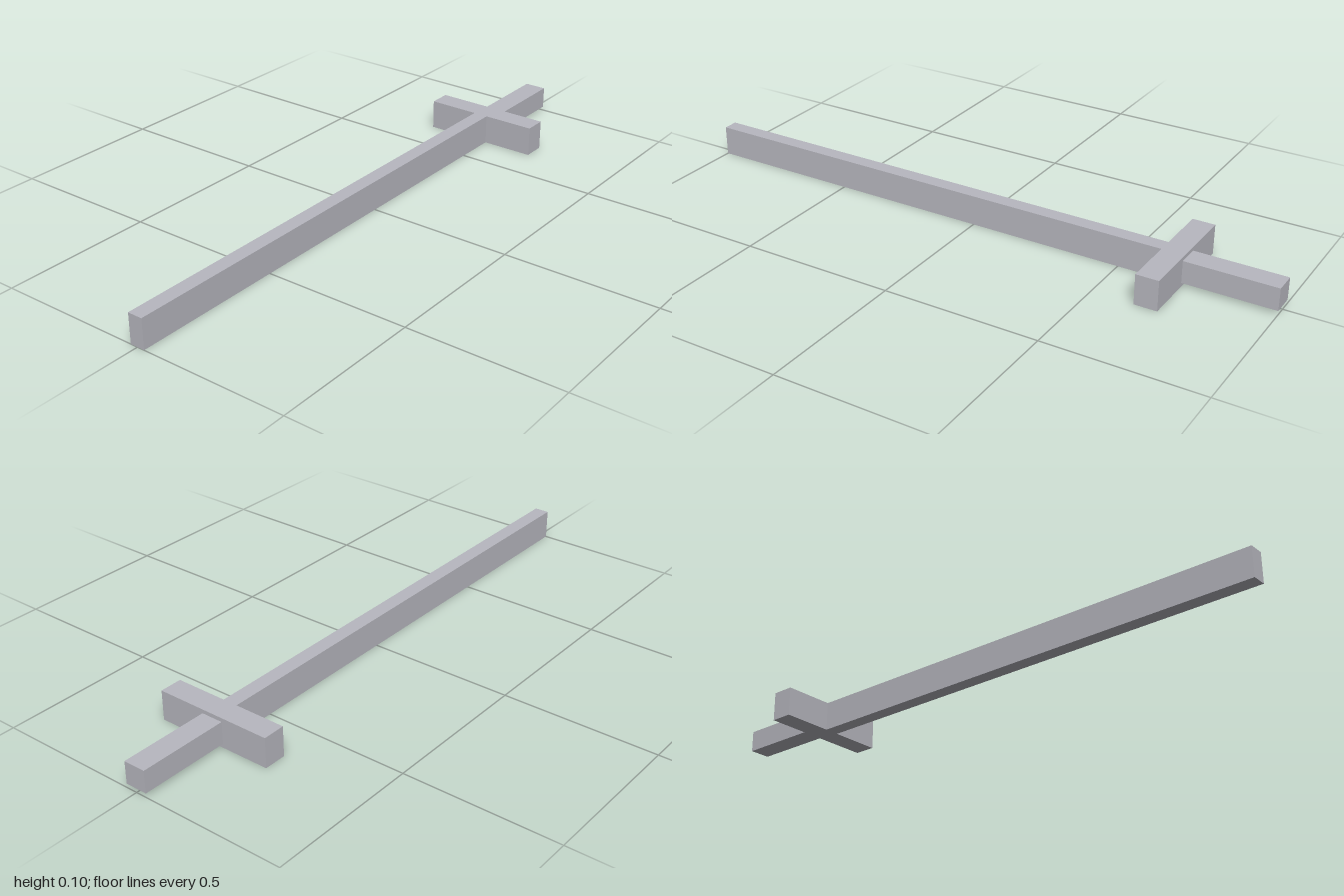
import * as THREE from 'three';

export function createModel() {
  const group = new THREE.Group();
  group.name = 'sword';
  const steel = new THREE.MeshStandardMaterial({ color: 0xb8b8c0 });
  steel.name = 'steel grey';

  const midY = 0.0487;

  // Square bar centred on x = 0, running from z0 to z1
  function bar(name, width, height, z0, z1) {
    const mesh = new THREE.Mesh(new THREE.BoxGeometry(width, height, z1 - z0), steel);
    mesh.name = name;
    mesh.position.set(0, midY, (z0 + z1) / 2);
    group.add(mesh);
  }

  bar('blade', 0.0487, 0.0974, -0.635, 1);
  bar('crossguard', 0.39, 0.0974, -0.708, -0.635);
  bar('grip', 0.072, 0.072, -1, -0.708);

  return group;
}
